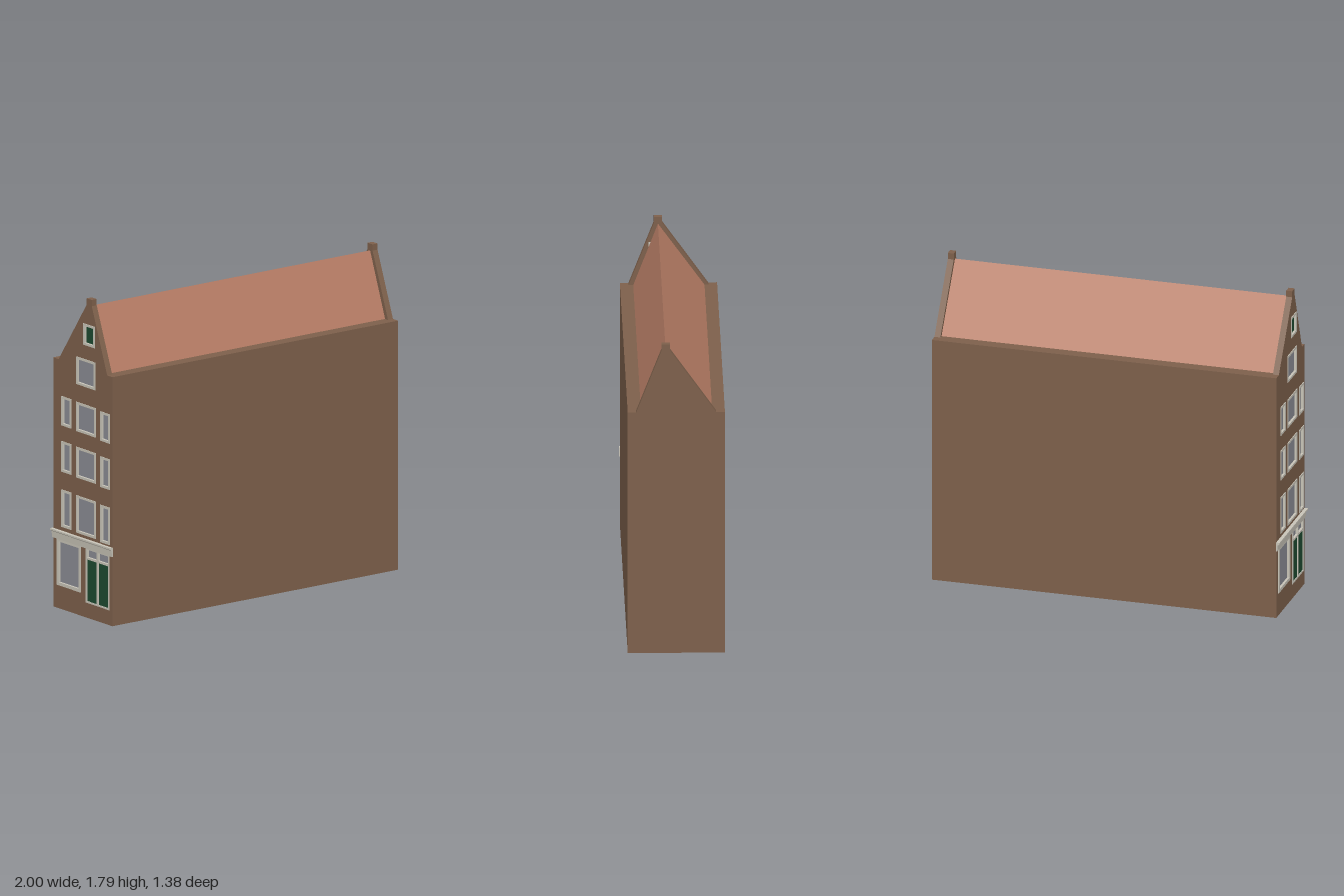
import * as THREE from 'three';

const HALF_W = 0.264, HALF_D = 0.977, WALL = 0.034, EAVE = 1.4;
const mat = (color) => new THREE.MeshStandardMaterial({ color, flatShading: true });
const brick = mat(0x7d604b), tile = mat(0xb87e66), trim = mat(0xc8c4b8);
const glass = mat(0x8a8c94), green = mat(0x1d4a30);

function add(parent, name, geometry, material, x = 0, y = 0, z = 0) {
  const mesh = new THREE.Mesh(geometry, material);
  mesh.name = name;
  mesh.position.set(x, y, z);
  parent.add(mesh);
  return mesh;
}

const polygon = (pts) => new THREE.Shape(pts.map(([x, y]) => new THREE.Vector2(x, y)));
const extrude = (shape, depth) => new THREE.ExtrudeGeometry(shape, { depth, bevelEnabled: false });

function rect(w, y0, y1, x = 0) {
  return [[x - w / 2, y0], [x + w / 2, y0], [x + w / 2, y1], [x - w / 2, y1]];
}

// End wall with its off-centre gable and small square cap
function gableWall(openings) {
  const shape = polygon([
    [-HALF_W, 0], [HALF_W, 0], [HALF_W, EAVE], [0.218, EAVE], [0.08, 1.76], [0.08, 1.795],
    [0.035, 1.795], [0.035, 1.76], [-0.216, EAVE], [-HALF_W, EAVE],
  ]);
  for (const o of openings) shape.holes.push(polygon(rect(o.w, o.y0, o.y1, o.x).reverse()));
  return extrude(shape, WALL);
}

// Border frame around an opening, with a recessed pane
function framed(parent, o) {
  const unit = new THREE.Group();
  unit.name = o.name;
  unit.position.set(o.x, 0, HALF_D);
  parent.add(unit);
  const b = o.border ?? 0.013;
  const frame = polygon(rect(o.w, o.y0, o.y1));
  frame.holes.push(polygon(rect(o.w - 2 * b, o.y0 + b, o.y1 - b).reverse()));
  add(unit, 'frame', extrude(frame, 0.022), trim, 0, 0, -0.018);
  add(unit, 'pane', new THREE.BoxGeometry(o.w - b, o.y1 - o.y0 - b, 0.006), o.pane ?? glass,
    0, (o.y0 + o.y1) / 2, -0.012);
  return unit;
}

export function createModel() {
  const model = new THREE.Group();
  model.name = 'house';
  const house = new THREE.Group();
  house.name = 'turnedHouse';
  house.rotation.y = -1.094;
  house.position.set(0.0075, 0, -0.005);
  model.add(house);

  // Openings of the street front
  const openings = [];
  const rows = [[0.46, 0.67], [0.77, 0.942], [1.03, 1.195]];
  const columns = [[-0.144, 0.09, 0.004], [0.03, 0.175, 0], [0.202, 0.084, -0.008]];
  for (const [y0, y1] of rows) {
    for (const [x, w, dy] of columns) {
      openings.push({ name: 'sashWindow', x, w, y0: y0 + dy, y1: y1 + dy });
    }
  }
  openings.push({ name: 'atticWindow', x: 0.028, w: 0.17, y0: 1.295, y1: 1.45 });
  openings.push({ name: 'loftHatch', x: 0.058, w: 0.1, y0: 1.53, y1: 1.65, pane: green });
  openings.push({ name: 'shopWindow', x: -0.122, w: 0.214, y0: 0.13, y1: 0.395, border: 0.018 });
  const door = { name: 'frontDoor', x: 0.135, w: 0.207, y0: 0.085, y1: 0.395, border: 0.01 };
  openings.push(door);

  // Walls
  add(house, 'body', new THREE.BoxGeometry(2 * HALF_W, EAVE, 2 * (HALF_D - WALL)), brick, 0, EAVE / 2);
  add(house, 'frontWall', gableWall(openings), brick, 0, 0, HALF_D - WALL);
  add(house, 'backWall', gableWall([]), brick, 0, 0, -HALF_D);

  // Roof between the two gables
  const roof = polygon([[-0.195, EAVE], [0.192, EAVE], [0.058, 1.757]]);
  add(house, 'roof', extrude(roof, 2 * (HALF_D - WALL)), tile, 0, 0, -(HALF_D - WALL));

  // Windows, hatch and door
  for (const o of openings) {
    const unit = framed(house, o);
    if (o !== door) continue;
    for (const side of [-1, 1]) {
      add(unit, 'doorLeaf', new THREE.BoxGeometry(0.082, 0.235, 0.012), green, side * 0.05, 0.212, -0.006);
    }
    add(unit, 'transom', new THREE.BoxGeometry(0.19, 0.012, 0.022), trim, 0, 0.336, -0.007);
    add(unit, 'doorPost', new THREE.BoxGeometry(0.014, 0.3, 0.022), trim, 0, 0.24, -0.007);
  }

  // Shop cornice, flaring outward to a thin top ledge
  const profile = polygon([[0, 0.39], [0.006, 0.39], [0.008, 0.425], [0.02, 0.433], [0.02, 0.442], [0, 0.442]]);
  const cornice = add(house, 'cornice', extrude(profile, 0.536), trim, 0.268, 0, HALF_D);
  cornice.rotation.y = -Math.PI / 2;
  return model;
}
